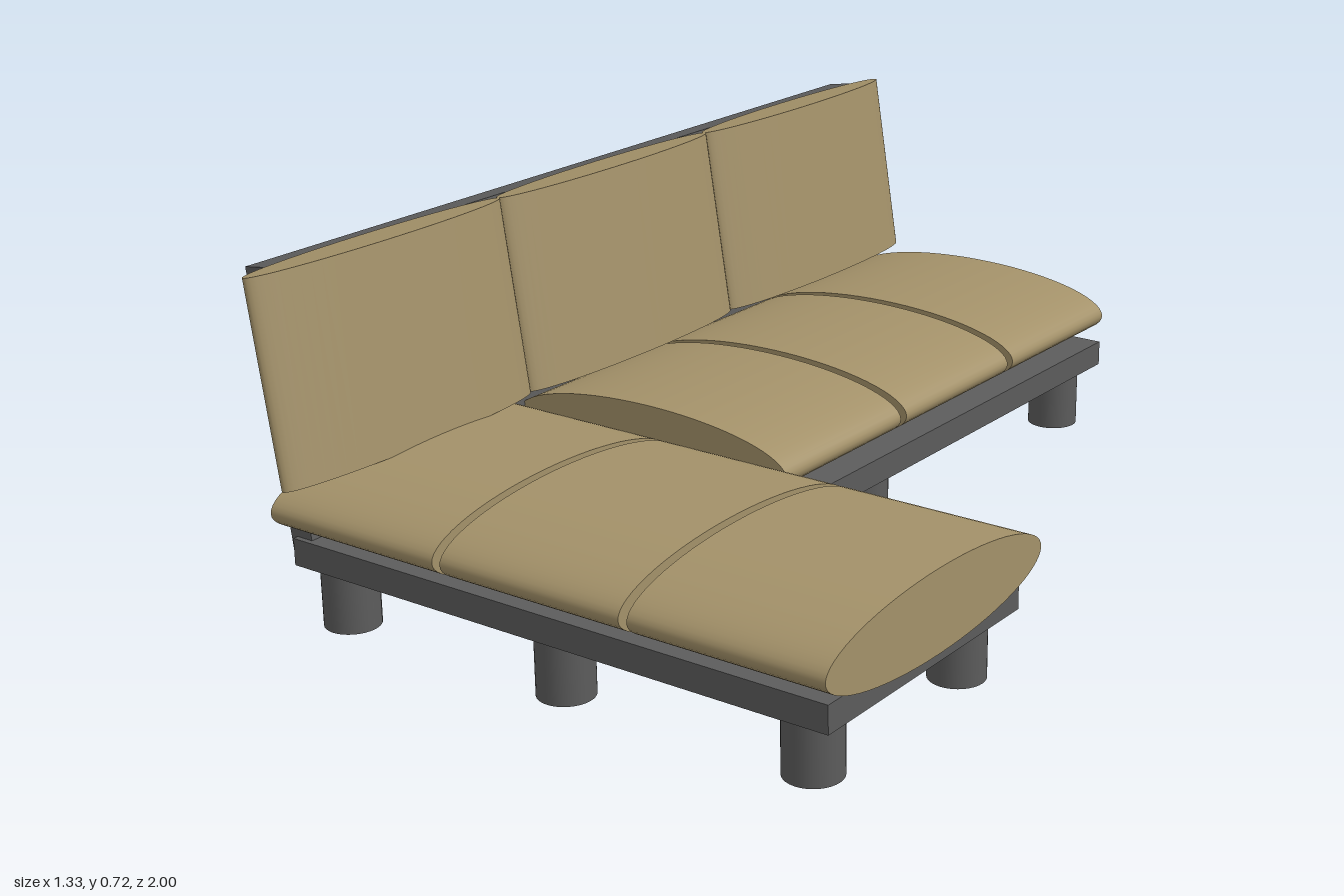
import * as THREE from 'three';

const fabric = new THREE.MeshStandardMaterial({ color: 0xa39169 });
const frame = new THREE.MeshStandardMaterial({ color: 0x5c5c5c });

function add(parent, name, geometry, material, x, y, z) {
  const mesh = new THREE.Mesh(geometry, material);
  mesh.name = name;
  mesh.position.set(x, y, z);
  parent.add(mesh);
  return mesh;
}

// Cushion with an elliptical section, extruded upwards along y
function cushion(sizeX, length, sizeZ) {
  return new THREE.CylinderGeometry(0.5, 0.5, length, 64).scale(sizeX, 1, sizeZ);
}

export function createModel() {
  const sofa = new THREE.Group();
  sofa.name = 'cornerSofa';

  // L-shaped platform, drawn as (x, -z) and extruded upwards
  const outline = [[-0.58, -0.917], [0.63, -0.917], [0.63, -0.32], [0.085, -0.32], [0.085, 0.963], [-0.58, 0.963]];
  const platform = new THREE.ExtrudeGeometry(
    new THREE.Shape(outline.map(([x, y]) => new THREE.Vector2(x, y))),
    { depth: 0.054, bevelEnabled: false }
  ).rotateX(-Math.PI / 2);
  add(sofa, 'platform', platform, frame, 0, 0.13, 0);

  // Round legs
  const legSpots = [
    [-0.517, 0.84], [0.01, 0.84], [0.543, 0.835], [0.543, 0.385],
    [-0.517, -0.097], [0.01, -0.097], [-0.517, -0.885], [0.01, -0.885]
  ];
  const leg = new THREE.CylinderGeometry(0.055, 0.055, 0.132, 32);
  for (const [x, z] of legSpots) add(sofa, 'leg', leg, frame, x, 0.066, z);

  // Leaning back panel
  const panel = add(sofa, 'backPanel', new THREE.BoxGeometry(0.053, 0.575, 1.868), frame, -0.6, 0.412, -0.028);
  panel.rotation.z = 0.134;

  // Seat cushions: three running along the back, three along the chaise
  const mainCushion = cushion(0.67, 0.398, 0.158).rotateX(Math.PI / 2);
  const chaiseCushion = cushion(0.158, 0.4, 0.67).rotateZ(Math.PI / 2);
  for (let i = 0; i < 3; i++) {
    add(sofa, 'mainSeatCushion', mainCushion, fabric, -0.235, 0.254, 0.094 - i * 0.419);
    add(sofa, 'chaiseSeatCushion', chaiseCushion, fabric, -0.372 + i * 0.418, 0.254, 0.639);
  }

  // Back cushions leaning on the panel
  const backCushion = cushion(0.106, 0.397, 0.667);
  for (const z of [-0.6665, 0, 0.6665]) {
    add(sofa, 'backCushion', backCushion, fabric, -0.536, 0.515, z).rotation.z = 0.153;
  }
  return sofa;
}
